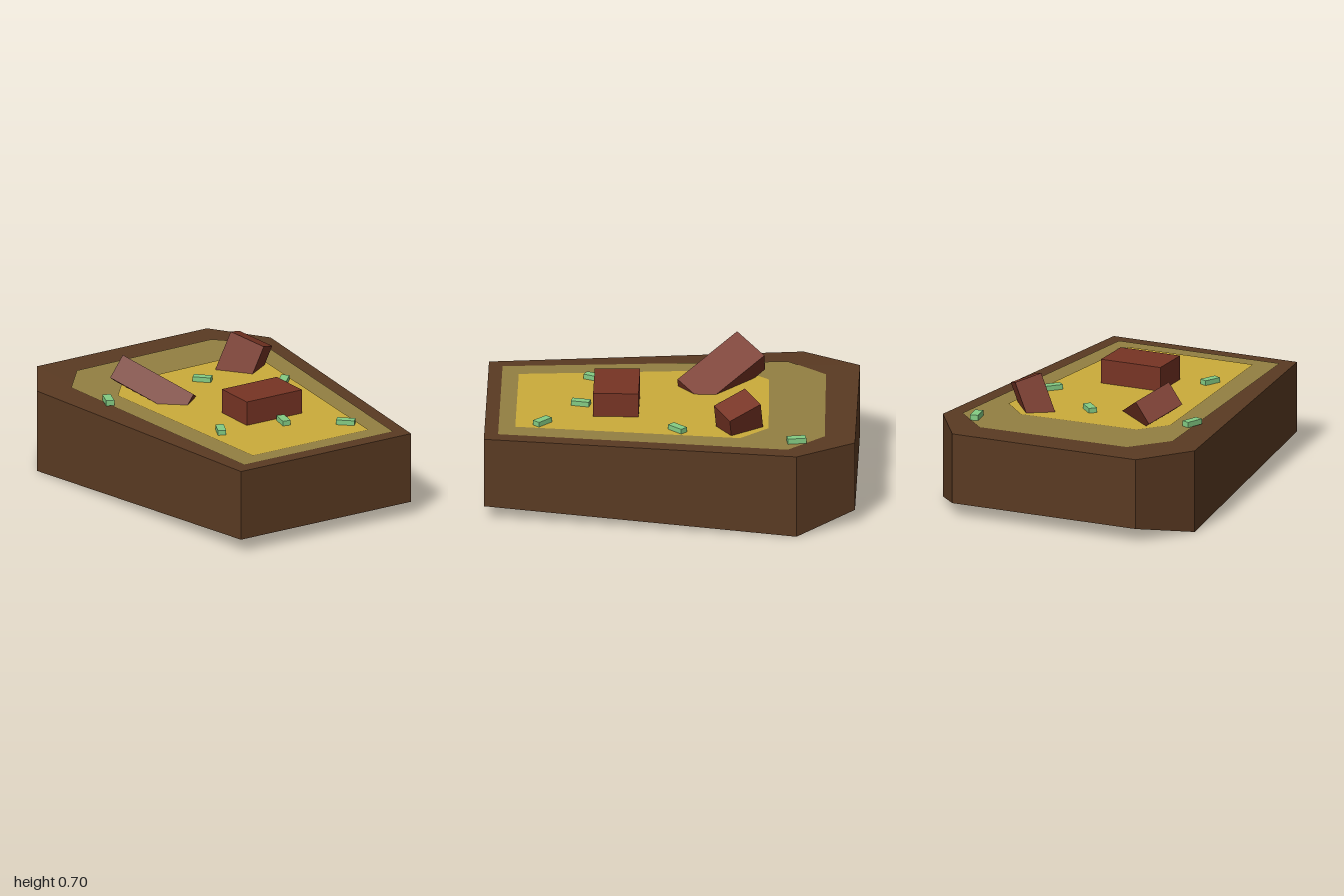
import * as THREE from 'three';

const mat = (name, color) => {
  const m = new THREE.MeshStandardMaterial({ color, flatShading: true });
  m.name = name;
  return m;
};

export function createModel() {
  const wood = mat('darkWood', 0x5a3a22);
  const olive = mat('oliveSand', 0x937f42);
  const gold = mat('gold', 0xcbac3a);
  const brick = mat('brickRed', 0x773424);
  const green = mat('paleGreen', 0x84cc84);

  const model = new THREE.Group();
  const add = (name, geometry, material) => {
    const mesh = new THREE.Mesh(geometry, material);
    mesh.name = name;
    model.add(mesh);
    return mesh;
  };

  // Six-sided body: x, z, bottom y, top y of each corner
  const corners = [
    [-0.55, 1, 0.075, 0.465], [0.547, 1, 0.075, 0.465], [0.753, -0.69, 0, 0.465],
    [0.547, -1, 0.075, 0.465], [-0.55, -1, 0.075, 0.465], [-0.753, -0.69, 0, 0.457],
  ];
  const low = corners.map(([x, z, y]) => [x, y, z]);
  const high = corners.map(([x, z, , y]) => [x, y, z]);
  const tris = [];
  for (let i = 0; i < 6; i++) {
    const j = (i + 1) % 6;
    tris.push(low[i], low[j], high[j], low[i], high[j], high[i]);
    if (i > 0 && i < 5) tris.push(high[0], high[i], high[j], low[0], low[j], low[i]);
  }
  const body = new THREE.BufferGeometry();
  body.setAttribute('position', new THREE.Float32BufferAttribute(tris.flat(), 3));
  body.computeVertexNormals();
  add('body', body, wood);

  // Flat coloured layers on the top
  const layer = (name, points, y, material) => {
    const shape = new THREE.Shape(points.map(([x, z]) => new THREE.Vector2(x, -z)));
    add(name, new THREE.ShapeGeometry(shape).rotateX(-Math.PI / 2), material).position.y = y;
  };
  layer('outerFilling', [[-0.48, 0.925], [0.48, 0.925], [0.66, -0.64],
    [0.465, -0.835], [-0.41, -0.82], [-0.585, -0.61]], 0.468, olive);
  layer('innerFilling', [[-0.365, 0.835], [0.38, 0.835], [0.51, -0.38],
    [0.365, -0.53], [-0.32, -0.515], [-0.45, -0.36]], 0.471, gold);

  // Level block
  add('levelBlock', new THREE.BoxGeometry(0.355, 0.16, 0.245), brick).position.set(0.047, 0.525, 0.297);

  // Half-buried tilted blocks: a top corner, two edge directions, three lengths
  const tilted = (name, corner, a, b, size) => {
    const u = new THREE.Vector3(...a).normalize();
    const w = new THREE.Vector3().crossVectors(u, new THREE.Vector3(...b)).normalize();
    const v = new THREE.Vector3().crossVectors(w, u);
    const mesh = add(name, new THREE.BoxGeometry(...size), brick);
    mesh.quaternion.setFromRotationMatrix(new THREE.Matrix4().makeBasis(u, v, w));
    mesh.position.set(...corner).addScaledVector(u, size[0] / 2)
      .addScaledVector(v, size[1] / 2).addScaledVector(w, size[2] / 2);
  };
  tilted('tiltedBlockRight', [-0.43, 0.705, -0.34], [0.568, -0.41, 0.716], [-0.571, -0.821, 0], [0.44, 0.14, 0.215]);
  tilted('tiltedBlockLeft', [0.305, 0.675, -0.4], [0.115, -0.045, -0.09], [0.11, -0.06, 0.16], [0.15, 0.203, 0.36]);

  // Scattered green bars: x, z and heading
  const bars = [
    [-0.55, -0.3, 7, -18], [0.06, -0.305, 13, 13], [0.41, 0.04 - 0.08, 13, -14], [-0.305, 0.43, 8, -17],
    [0.06, 0.49, 4, -18], [0.33, 0.69, 13, 12], [0.553, -0.685, 3, 18],
  ];
  const barShape = new THREE.BoxGeometry(0.045, 0.03, 0.1);
  for (const [x, z, dx, dz] of bars) {
    const bar = add('greenBar', barShape, green);
    bar.position.set(x, 0.483, z);
    bar.rotation.y = Math.atan2(dx, dz);
  }
  return model;
}
